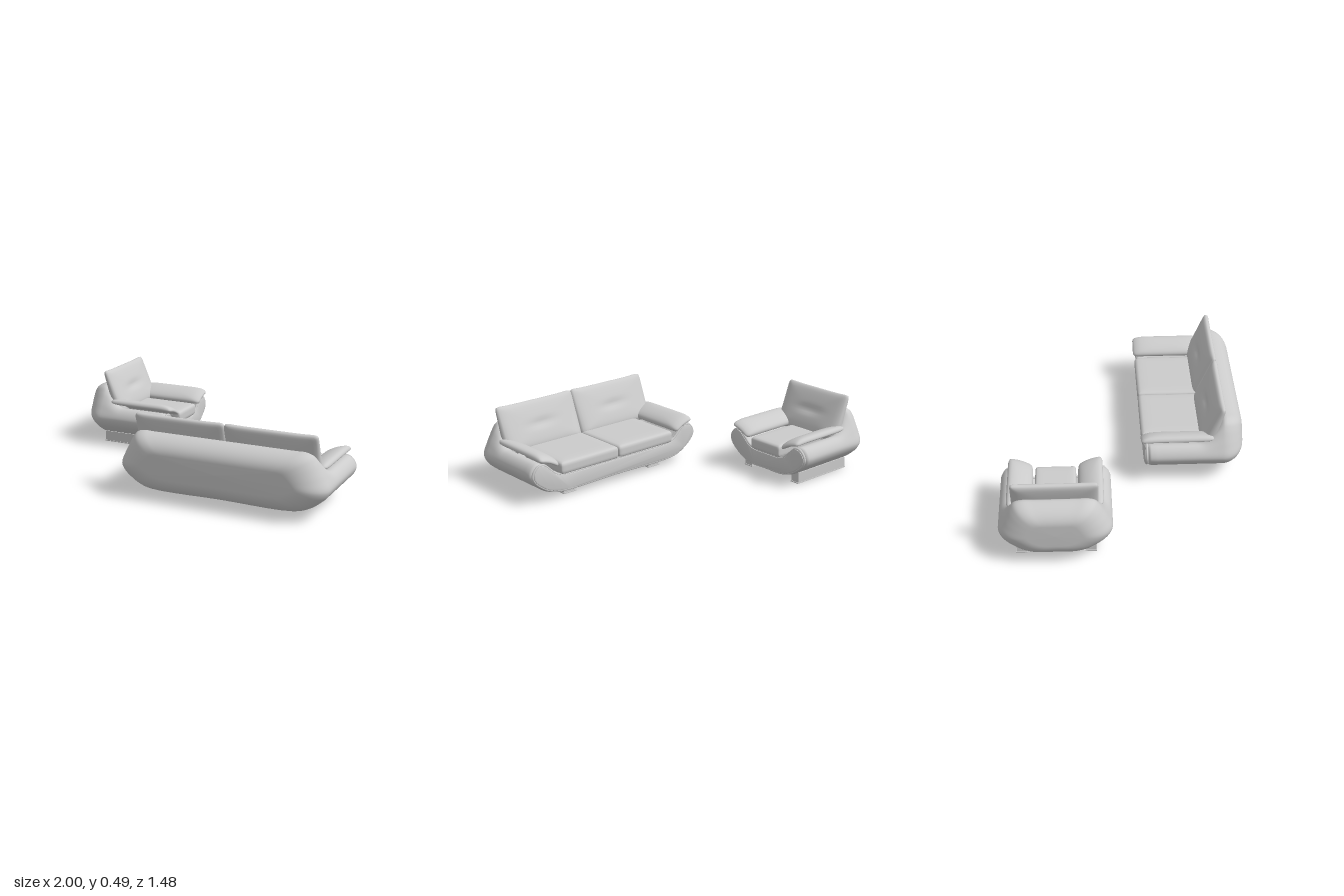
import * as THREE from 'three';
import { mergeVertices, toCreasedNormals } from 'three/addons/utils/BufferGeometryUtils.js';

const material = new THREE.MeshStandardMaterial({ color: 0xcccccc });

function add(parent, name, geometry, x = 0, y = 0, z = 0) {
  const mesh = new THREE.Mesh(geometry, material);
  mesh.name = name;
  mesh.position.set(x, y, z);
  parent.add(mesh);
  return mesh;
}

// Profile points: [distance in from the outer side, height]
const LOWER = [[0.2, 0.04], [0.12, 0.062], [0.055, 0.105], [0.015, 0.145], [0, 0.185]];
const ROLL = [[0.015, 0.225], [0.045, 0.25], [0.08, 0.25], [0.12, 0.215], [0.17, 0.168], [0.23, 0.15]];
const BACK = [[0.025, 0.25], [0.05, 0.3], [0.075, 0.345], [0.1, 0.376], [0.14, 0.39], [0.21, 0.39]];

// Cross-section of the body, blending from arm rolls (t = 0) to full back (t = 1)
function section(hw, t) {
  const mix = THREE.MathUtils.lerp;
  const upper = ROLL.map((p, i) => [mix(p[0], BACK[i][0], t), mix(p[1], BACK[i][1], t)]);
  const side = [...LOWER, ...upper].map(([e, y]) => [hw - e, y]);
  const ring = [[0, 0.04], ...side, [0, mix(0.15, 0.39, t)],
    ...side.slice().reverse().map(([u, y]) => [-u, y])];
  const curve = new THREE.CatmullRomCurve3(ring.map(([u, y]) => new THREE.Vector3(u, y, 0)), true);
  return curve.getPoints(ring.length * 5).slice(0, -1);
}

// Upholstered shell: cross-sections lofted from the front to the rounded back
function bodyGeometry(hw) {
  const stations = [[0.045, 0.92], [0.05, 0.97], [0.062, 1]];
  for (let d = 0.1; d < 0.5; d += 0.025) stations.push([d, 1]);
  for (let i = 0; i <= 14; i++) stations.push([0.5 + 0.135 * Math.sin((i / 14) * Math.PI / 2), 1]);
  stations.push([0.636, 0]);
  const positions = [], index = [];
  let n = 0;
  for (const [d, k] of stations) {
    const ring = section(hw, THREE.MathUtils.smoothstep(d, 0.36, 0.52));
    const q = THREE.MathUtils.clamp((d - 0.5) / 0.135, 0, 1);
    const s = 1 - Math.sqrt(1 - q * q);
    n = ring.length;
    for (const p of ring) {
      const u = p.x * (1 - 0.17 * s / hw);
      const y = 0.22 + (p.y - 0.22) * (1 - 0.6 * s);
      const cy = d < 0.1 ? 0.16 : 0.22;
      const ku = k > 0 ? 1 - (1 - k) * 0.2 / hw : 0;
      positions.push(u * ku, cy + (y - cy) * k, -d);
    }
  }
  for (let i = 0; i < stations.length - 1; i++) {
    for (let j = 0; j < n; j++) {
      const a = i * n + j, b = i * n + (j + 1) % n;
      index.push(a, a + n, b, b, a + n, b + n);
    }
  }
  const g = new THREE.BufferGeometry();
  g.setAttribute('position', new THREE.Float32BufferAttribute(positions, 3));
  g.setIndex(index);
  g.computeVertexNormals();
  return g;
}

// Soft slab, thin along y; plan and edge set how square it is, shape(p, n) adjusts it
function pillow(w, h, d, plan, edge, shape) {
  let g = new THREE.BoxGeometry(2, 2, 2, 28, 10, 28);
  g.deleteAttribute('normal');
  g.deleteAttribute('uv');
  g = mergeVertices(g);
  const pos = g.attributes.position;
  const p = new THREE.Vector3(), n = new THREE.Vector3();
  for (let i = 0; i < pos.count; i++) {
    n.fromBufferAttribute(pos, i);
    n.set(...n.toArray().map((c) => Math.sin(c * Math.PI / 2)));
    const r = (Math.abs(n.x) ** plan + Math.abs(n.z) ** plan) ** (1 / plan);
    n.divideScalar((r ** edge + Math.abs(n.y) ** edge) ** (1 / edge));
    p.set(n.x * w / 2, n.y * h / 2, n.z * d / 2);
    if (shape) shape(p, n);
    pos.setXYZ(i, p.x, p.y, p.z);
  }
  g.computeVertexNormals();
  return g;
}

function createSeat(name, width, places, leg) {
  const seat = new THREE.Group();
  seat.name = name;
  const hw = width / 2;
  add(seat, 'body', bodyGeometry(hw));

  // Front panel with piping around its edge
  const outline = section(hw, 0).map((p) =>
    new THREE.Vector3(p.x * (hw - 0.014) / hw, 0.16 + (p.y - 0.16) * 0.9, 0));
  const panel = new THREE.ExtrudeGeometry(
    new THREE.Shape(outline.map((p) => new THREE.Vector2(p.x, p.y))),
    { depth: 0.04, bevelThickness: 0.006, bevelSize: 0.006, bevelOffset: -0.008, bevelSegments: 2 });
  add(seat, 'frontPanel', toCreasedNormals(panel, 0.7), 0, 0, -0.07);
  const piping = new THREE.TubeGeometry(new THREE.CatmullRomCurve3(outline, true), 200, 0.008, 8, true);
  add(seat, 'frontPiping', piping, 0, 0, -0.036);

  // Seat and back cushions, one pair for each place
  const seatWidth = (width - 0.41) / places;
  const backWidth = (width - 0.16) / places;
  for (let i = 0; i < places; i++) {
    const k = i - (places - 1) / 2;
    add(seat, 'seatCushion', pillow(seatWidth, 0.085, 0.43, 24, 7), k * seatWidth, 0.193, -0.225);
    const back = pillow(backWidth, 0.1, 0.3, 16, 3.5, (p, n) => {
      p.y *= 0.8 + 0.3 * n.z;
      // Raised upper corners and a tufted middle
      if (n.z < 0) p.z += n.z * 0.01 * n.x ** 6;
      if (n.y > 0) {
        p.y -= 0.012 * Math.exp(-(p.x ** 2) / 0.008 - (p.z ** 2) / 0.0006);
      }
    });
    back.rotateX(Math.PI / 2 - 0.34);
    add(seat, 'backCushion', back, k * backWidth, 0.34, -0.452);
  }

  for (const s of [-1, 1]) {
    // Arm pad sloping down towards the seat, its nose drooping at the front
    const pad = pillow(0.155, 0.046, 0.45, 9, 3, (p, n) => {
      p.y -= 0.012 * Math.max(0, n.z) ** 6;
      p.y -= 0.012 * n.x * n.x;
    });
    pad.rotateZ(s * 0.4);
    add(seat, 'armPad', pad, s * (hw - 0.125), 0.272, -0.226);

    // Runner foot with a thin sole
    const z = -(leg.front + leg.back) / 2, length = leg.back - leg.front;
    add(seat, 'runner', new THREE.BoxGeometry(leg.width - 0.006, 0.07, length - 0.01), s * leg.x, 0.035, z);
    add(seat, 'runnerSole', new THREE.BoxGeometry(leg.width, 0.006, length), s * leg.x, 0.003, z);
  }
  return seat;
}

export function createModel() {
  const model = new THREE.Group();
  model.name = 'sofaSet';

  const sofa = createSeat('sofa', 1.29, 2, { x: 0.335, width: 0.092, front: 0.075, back: 0.405 });
  sofa.rotation.y = Math.PI;
  sofa.position.set(0.355, 0, 0.105);

  const armchair = createSeat('armchair', 0.654, 1, { x: 0.2, width: 0.065, front: 0.075, back: 0.52 });
  armchair.rotation.y = Math.PI / 2;
  armchair.position.set(-0.365, 0, -0.415);

  model.add(sofa, armchair);
  return model;
}
